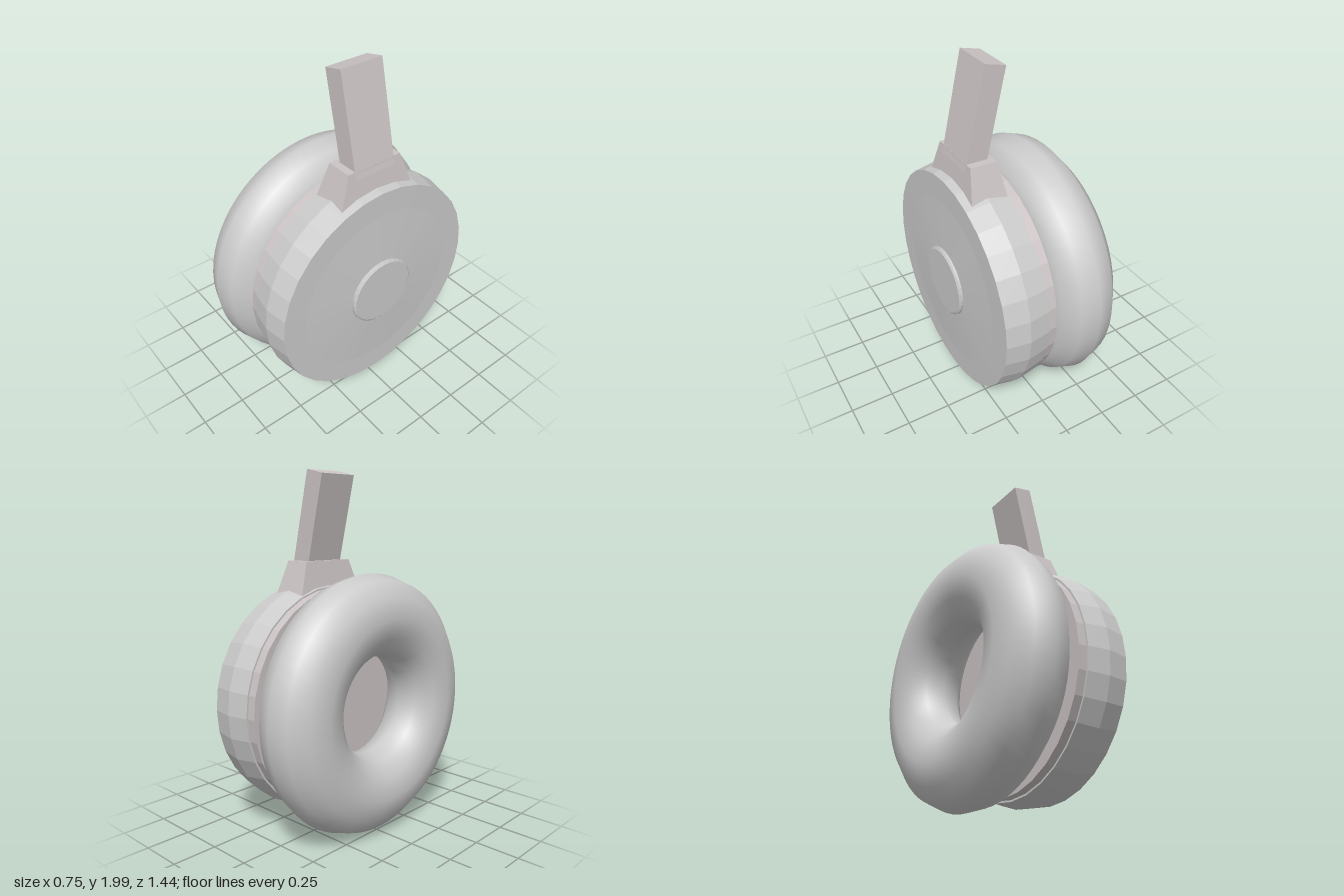
import * as THREE from 'three';

const AXLE_Y = 0.732;
const AXLE_Z = -0.004;

export function createModel() {
  const model = new THREE.Group();
  model.name = 'wheelAssembly';

  const smooth = new THREE.MeshStandardMaterial({ color: 0xcccccc });
  const flat = new THREE.MeshStandardMaterial({ color: 0xcccccc, flatShading: true });
  const warm = new THREE.MeshStandardMaterial({ color: 0xccc4c4, flatShading: true });

  const add = (name, geometry, material, x = 0, y = 0, z = 0) => {
    const mesh = new THREE.Mesh(geometry, material);
    mesh.name = name;
    mesh.position.set(x, y, z);
    model.add(mesh);
    return mesh;
  };

  // Solid of revolution about the axle; profile points are [x, radius]
  const turned = (name, profile, segments, material) => {
    const points = profile.map(([x, r]) => new THREE.Vector2(r, x));
    const geometry = new THREE.LatheGeometry(points, segments).rotateZ(-Math.PI / 2);
    return add(name, geometry, material, 0, AXLE_Y, AXLE_Z);
  };

  // Tyre: ring slightly narrower along the axle than it is tall
  const ring = new THREE.TorusGeometry(0.495, 0.226, 12, 64);
  ring.scale(1, 1, 0.196 / 0.226).rotateY(Math.PI / 2);
  add('tyre', ring, smooth, -0.18, AXLE_Y, AXLE_Z);

  // Drum: thin back plate, barrel with a shallow crown, domed face, hub cap
  turned('backPlate', [[0.03, 0], [0.03, 0.63], [0.085, 0.63], [0.085, 0]], 32, warm);
  turned('drum', [
    [0.08, 0], [0.08, 0.64], [0.205, 0.66], [0.335, 0.637],
    [0.336, 0.5], [0.35, 0.2], [0.35, 0],
  ], 32, flat);
  turned('hubCap', [[0.34, 0], [0.34, 0.202], [0.362, 0.202], [0.37, 0.19], [0.37, 0]], 32, flat);

  // Bracket: block tapering upward from the barrel
  const bracket = new THREE.BoxGeometry(1, 1, 1);
  const p = bracket.attributes.position;
  for (let i = 0; i < p.count; i++) {
    const top = p.getY(i) > 0;
    p.setXYZ(i, p.getX(i) * (top ? 0.146 : 0.214), top ? 1.51 : 1.3, p.getZ(i) * (top ? 0.335 : 0.48));
  }
  bracket.computeVertexNormals();
  add('bracket', bracket, warm, 0.192, 0, AXLE_Z);

  // Arm: bar leaning over the tyre
  const arm = add('arm', new THREE.BoxGeometry(0.115, 0.55, 0.25), warm, 0.157, 1.72, AXLE_Z);
  arm.rotation.z = 0.225;

  return model;
}
